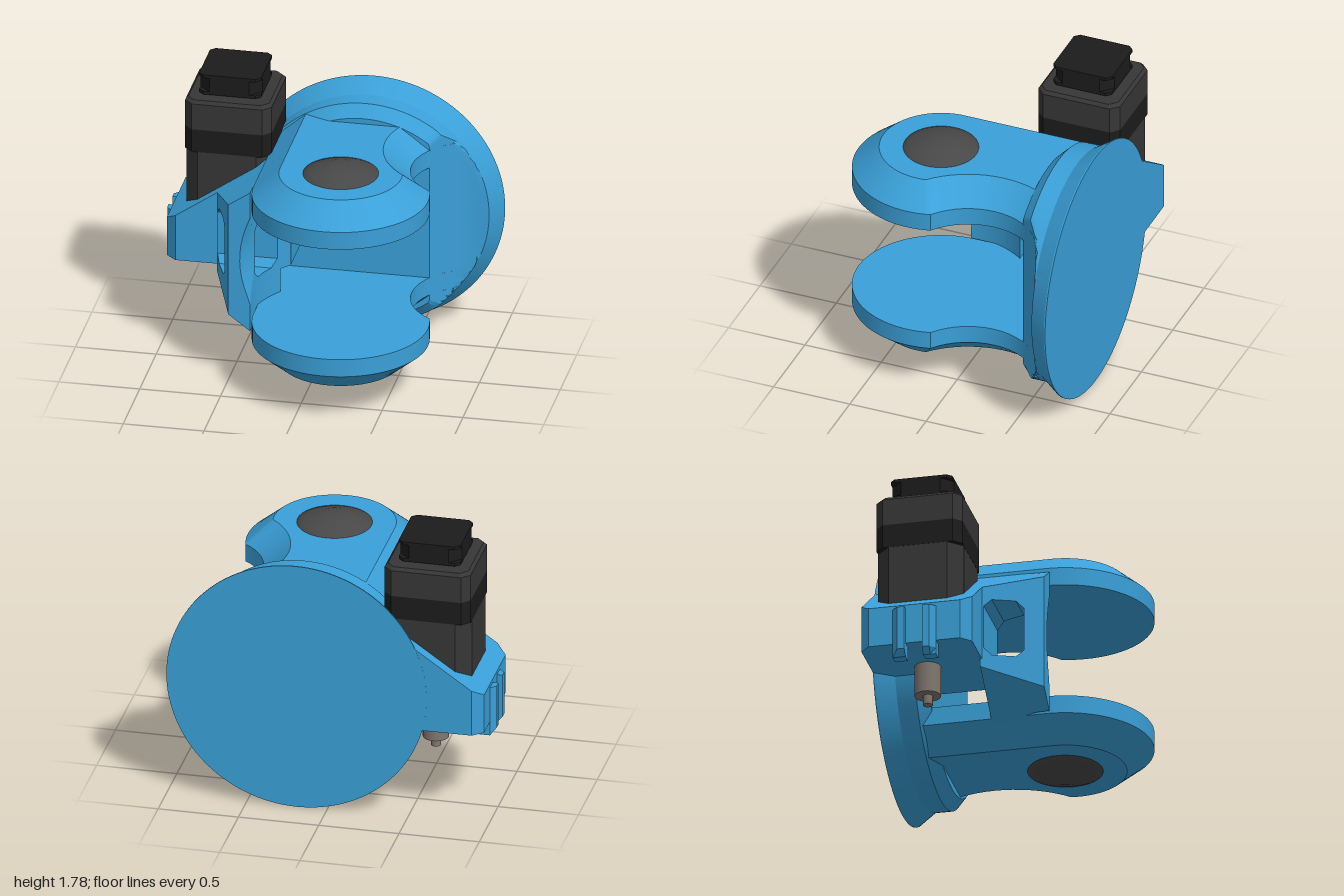
import * as THREE from 'three';
import { toCreasedNormals } from 'three/addons/utils/BufferGeometryUtils.js';

const paint = (color) => new THREE.MeshStandardMaterial({ color });
const BLUE = paint(0x3aa0d8), GREY = paint(0x363636), BLACK = paint(0x1c1c1c);
const DOME = paint(0x484848), METAL = paint(0x80776f);
const lerp = THREE.MathUtils.lerp;
const MID = 0.815; // height of the mirror plane

// Placement rules: outlines drawn in plan (u = x, v = -z) or facing the front
const plan = (u, v, h) => [u, h, -v];
const facing = (u, v, h) => [u, v, h];

// Skin a stack of counter-clockwise outlines [points, height] and cap both ends
function loft(rings, place) {
  const pos = [];
  const put = (k, i) => pos.push(...place(...rings[k][0][i], rings[k][1]));
  const n = rings[0][0].length, last = rings.length - 1;
  for (let k = 0; k < last; k++) {
    for (let i = 0; i < n; i++) {
      const j = (i + 1) % n;
      put(k, i); put(k, j); put(k + 1, j);
      put(k, i); put(k + 1, j); put(k + 1, i);
    }
  }
  for (const k of [0, last]) {
    const contour = rings[k][0].map(([u, v]) => new THREE.Vector2(u, v));
    for (const [a, b, c] of THREE.ShapeUtils.triangulateShape(contour, [])) {
      put(k, a); put(k, k ? b : c); put(k, k ? c : b);
    }
  }
  const g = new THREE.BufferGeometry();
  g.setAttribute('position', new THREE.Float32BufferAttribute(pos, 3));
  return toCreasedNormals(g, 0.4);
}

// Square outline with cut corners
function cutSquare(half, cut, cx, cz) {
  const a = half, b = half - cut;
  return [[a, -b], [a, b], [b, a], [-b, a], [-a, b], [-a, -b], [-b, -a], [b, -a]]
    .map(([u, v]) => [u + cx, v - cz]);
}

// Concave cut that blends the fork into the base disc
const CUT = { x: 0.94, z: -0.25, r: 0.41 };
const ARM = { x: 0.19, z: 0.235, r: 0.54 };
const cutX = (z) => (z < -0.655 ? Infinity
  : CUT.x - Math.sqrt(Math.max(0, CUT.r ** 2 - (z - CUT.z) ** 2)));

// Fork arm outline, pulled inwards by d
function armOutline(d) {
  const r = ARM.r - d, R = CUT.r + d, back = -0.6;
  const dx = CUT.x - ARM.x, dz = CUT.z - ARM.z, D = Math.hypot(dx, dz);
  const kink = Math.atan2(dz, dx) + Math.acos((r * r - R * R + D * D) / (2 * D * r));
  const kx = ARM.x + r * Math.cos(kink), kz = ARM.z + r * Math.sin(kink);
  const b0 = Math.PI - Math.asin((kz - CUT.z) / R);
  const b1 = Math.PI - Math.asin((back - CUT.z) / R);
  const pts = [[ARM.x - r, -back]];
  for (let i = 0; i <= 48; i++) {
    const a = lerp(Math.PI, kink, i / 48);
    pts.push([ARM.x + r * Math.cos(a), -(ARM.z + r * Math.sin(a))]);
  }
  pts[pts.length - 1] = [kx, -kz];
  for (let i = 1; i <= 16; i++) {
    const b = lerp(b0, b1, i / 16);
    pts.push([CUT.x + R * Math.cos(b), -(CUT.z + R * Math.sin(b))]);
  }
  return pts;
}

// Side wall surfaces
const wallTop = (x) => 0.83 + 0.69 * (x + 1);
const wallBottom = (x) => 0.065 - 0.75 * x;
const wallOuter = (z) => lerp(-0.64, -0.5, (z + 0.09) / 0.355);
const wallInner = (z) => ARM.x - Math.sqrt(0.555 ** 2 - (z - ARM.z) ** 2);
const dish = (z, y) => Math.max(0, 0.065 * ((z - 0.15) / 0.115 - ((y - MID) / 0.285) ** 2));

// Block of the side wall between z0 and z1, from lo(x, z) to hi(x, z)
function wallBlock(z0, z1, lo, hi) {
  const g = new THREE.BoxGeometry(1, 1, 1, 1, 16, 10).toNonIndexed();
  const p = g.attributes.position;
  for (let i = 0; i < p.count; i++) {
    const z = lerp(z0, z1, p.getZ(i) + 0.5), inner = p.getX(i) > 0;
    const x = inner ? wallInner(z) : wallOuter(z);
    const y = lerp(lo(x, z), hi(x, z), p.getY(i) + 0.5);
    p.setXYZ(i, inner ? x - dish(z, y) : x, y, z);
  }
  return toCreasedNormals(g, 0.4);
}

export function createModel() {
  const model = new THREE.Group();
  const add = (name, geometry, material) => {
    const mesh = new THREE.Mesh(geometry, material);
    mesh.name = name;
    model.add(mesh);
    return mesh;
  };

  // Base disc: flared rim, then a hub trimmed by the concave cut
  const discSteps = [[-0.78, 0.81], [-0.772, 0.81], [-0.66, 0.735], [-0.65, 0.735], [-0.64, 0.735],
    [-0.62, 0.735], [-0.59, 0.735], [-0.565, 0.735], [-0.54, 0.735], [-0.505, 0.7], [-0.47, 0.665]];
  const discRings = discSteps.map(([z, r]) => {
    const pts = [];
    for (let i = 0; i < 128; i++) {
      const a = (i / 128) * Math.PI * 2;
      pts.push([Math.min(0.19 + r * Math.cos(a), cutX(z)), 0.81 + r * Math.sin(a)]);
    }
    return [pts, z];
  });
  add('baseDisc', loft(discRings, facing), BLUE);

  // Fork arms with chamfered outer faces, mirrored about mid height
  const armRings = [[armOutline(0), 1.185], [armOutline(0), 1.3], [armOutline(0.165), 1.44]];
  add('upperArm', loft(armRings, plan), BLUE);
  add('lowerArm', loft(armRings.map(([o, y]) => [o, 2 * MID - y]).reverse(), plan), BLUE);

  // Domed pivot caps
  const domeProfile = [[0.23, -0.02], [0.23, 0], [0.19, 0.014], [0.1, 0.046], [0.05, 0.054], [0, 0.055]]
    .map(([r, y]) => new THREE.Vector2(r, y));
  for (const up of [true, false]) {
    const cap = add(up ? 'upperPivotCap' : 'lowerPivotCap', new THREE.LatheGeometry(domeProfile, 48), DOME);
    if (!up) cap.rotation.x = Math.PI;
    cap.position.set(ARM.x, up ? 1.44 : 0.19, ARM.z);
  }

  // Side wall with a bored inner face and an eight-sided slot
  const s0 = -0.08, s1 = 0.15;
  const slotHalf = (z) => 0.185 - Math.max(0, 0.046 - Math.min(z - s0, s1 - z));
  const wall = [
    [-0.1, s0, wallBottom, wallTop],
    [s0, s1, wallBottom, (x, z) => MID - slotHalf(z)],
    [s0, s1, (x, z) => MID + slotHalf(z), wallTop],
    [s1, 0.265, wallBottom, wallTop],
  ];
  for (const block of wall) add('sideWall', wallBlock(...block), BLUE);

  // Motor bracket with a sloping top
  const footprint = [[-0.2, 0.16], [-0.2, 0.779], [-0.9, 0.779], [-0.965, 0.72],
    [-0.965, 0.15], [-0.9, 0.09], [-0.26, 0.09]];
  add('motorBracket', loft([[footprint, 0], [footprint, 1]],
    (u, v, h) => [u, lerp(0.6, wallTop(u), h), -v]), BLUE);

  // Pair of guide ribs on the outer side of the bracket
  for (const s of [-1, 1]) {
    const zAt = (d) => 0.435 + s * d;
    const rib = [[-0.9, zAt(0.055)], [-0.9, zAt(0.135)], [-0.965, zAt(0.135)], [-1, zAt(0.1)], [-1, zAt(0.055)]];
    if (s < 0) rib.reverse();
    const low = rib.map(([u, v]) => [Math.max(u, -0.965), v]);
    add('guideRib', loft([[low, 0.51], [rib, 0.55], [rib, 0.83]], plan), BLUE);
  }

  // Motor: body, band, head with softened top edge, and a separate cap
  const mx = -0.598, mz = -0.437;
  const block = (name, material, ...steps) =>
    add(name, loft(steps.map(([y, half, cut]) => [cutSquare(half, cut, mx, mz), y]), plan), material);
  block('motorBody', GREY, [0.62, 0.267, 0.085], [1.31, 0.267, 0.085]);
  block('motorBand', BLACK, [1.3, 0.268, 0.05], [1.45, 0.268, 0.05]);
  block('motorHead', GREY, [1.45, 0.268, 0.05], [1.62, 0.268, 0.05], [1.64, 0.25, 0.045]);
  block('motorCapBase', BLACK, [1.655, 0.192, 0.03], [1.675, 0.192, 0.03]);
  block('motorCapCore', BLACK, [1.675, 0.192, 0.07], [1.765, 0.192, 0.07]);
  block('motorCapTop', BLACK, [1.765, 0.192, 0.03], [1.785, 0.192, 0.03]);

  // Drive pulley and shaft below the bracket
  add('drivePulley', new THREE.CylinderGeometry(0.08, 0.08, 0.2, 32), METAL).position.set(mx, 0.505, mz);
  add('driveShaft', new THREE.CylinderGeometry(0.03, 0.03, 0.08, 24), METAL).position.set(mx, 0.385, mz);

  return model;
}
